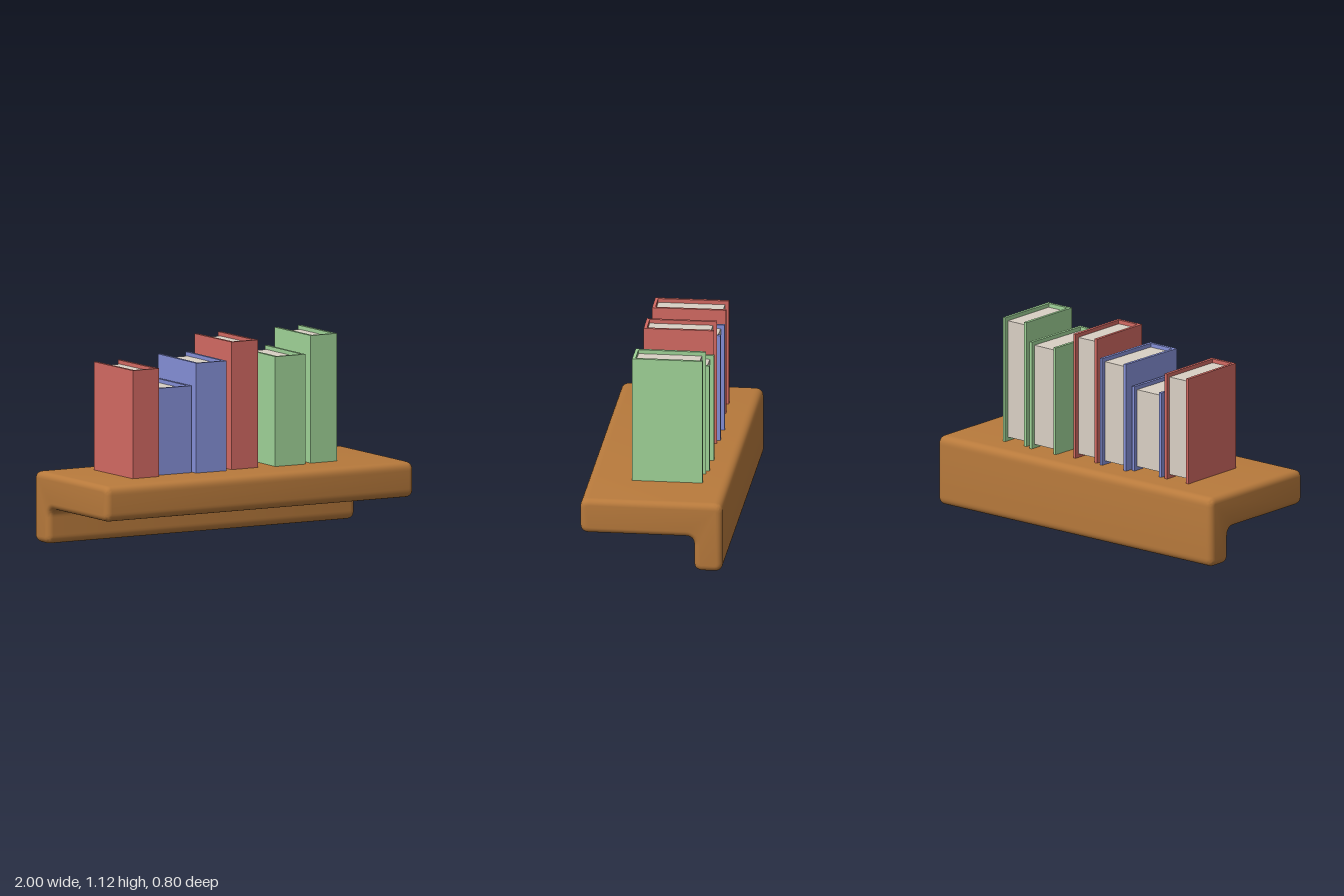
import * as THREE from 'three';
import { toCreasedNormals } from 'three/addons/utils/BufferGeometryUtils.js';

const material = (name, color) => Object.assign(new THREE.MeshStandardMaterial({ color }), { name });
const SHELF_TOP = 0.4;
const BOARD = 0.018; // cover thickness

// Closed outline whose corners are rounded by radius r
function roundedShape(points, r) {
  const shape = new THREE.Shape();
  const v = points.map(([x, y]) => new THREE.Vector2(x, y));
  v.forEach((p, i) => {
    const toward = (q) => q.clone().sub(p).setLength(r).add(p);
    const a = toward(v[(i + v.length - 1) % v.length]);
    const b = toward(v[(i + 1) % v.length]);
    if (i === 0) shape.moveTo(a.x, a.y);
    else shape.lineTo(a.x, a.y);
    shape.quadraticCurveTo(p.x, p.y, b.x, b.y);
  });
  shape.closePath();
  return shape;
}

// L-shaped shelf: a deep board with a lip hanging down at the back
function createShelf(wood) {
  const bevel = 0.035;
  const profile = roundedShape([
    [-0.4, 0.2], [0.24, 0.2], [0.24, 0], [0.4, 0], [0.4, 0.4], [-0.4, 0.4],
  ], 0.05);
  const geometry = new THREE.ExtrudeGeometry(profile, {
    depth: 2 - 2 * bevel, curveSegments: 8,
    bevelThickness: bevel, bevelSize: bevel, bevelOffset: -bevel, bevelSegments: 6,
  });
  geometry.translate(0, 0, bevel - 1).rotateY(Math.PI / 2);
  const shelf = new THREE.Mesh(toCreasedNormals(geometry, 0.6), wood);
  shelf.name = 'shelf';
  return shelf;
}

// Book with its spine to the front: U-shaped cover around a recessed page block
function createBook({ x0, x1, front, back, top, yaw }, cover, paper) {
  const book = new THREE.Group();
  const w = (x1 - x0) / 2, d = (front - back) / 2, h = top - SHELF_TOP;

  const u = new THREE.Shape([
    [-w, -d], [w, -d], [w, d], [w - BOARD, d],
    [w - BOARD, -d + BOARD], [-w + BOARD, -d + BOARD], [-w + BOARD, d], [-w, d],
  ].map(([x, y]) => new THREE.Vector2(x, y)));
  const coverGeometry = new THREE.ExtrudeGeometry(u, { depth: h, bevelEnabled: false });
  const coverMesh = new THREE.Mesh(coverGeometry.rotateX(-Math.PI / 2), cover);
  coverMesh.name = 'cover';

  const recess = 0.022;
  const pages = new THREE.Mesh(
    new THREE.BoxGeometry(2 * (w - BOARD), h - 2 * recess, 2 * d - BOARD - recess), paper);
  pages.position.set(0, h / 2, (recess - BOARD) / 2);
  pages.name = 'pages';

  book.add(coverMesh, pages);
  book.position.set((x0 + x1) / 2, SHELF_TOP, (front + back) / 2);
  book.rotation.y = yaw;
  book.name = 'book';
  return book;
}

export function createModel() {
  const wood = material('wood', 0xb87a3c);
  const paper = material('paper', 0xd9d0c4);
  const red = material('red cover', 0xd46a63);
  const blue = material('blue cover', 0x8590d8);
  const green = material('green cover', 0xa0d498);

  const model = new THREE.Group();
  model.name = 'bookshelf';
  model.add(createShelf(wood));

  // Books from right to left of the shelf
  [
    [red, { x0: -0.70, x1: -0.527, front: 0.175, back: -0.24, top: 1.01, yaw: 0.01 }],
    [blue, { x0: -0.502, x1: -0.287, front: 0.13, back: -0.235, top: 0.89, yaw: -0.01 }],
    [blue, { x0: -0.274, x1: -0.078, front: 0.165, back: -0.265, top: 1.02, yaw: -0.02 }],
    [red, { x0: -0.04, x1: 0.132, front: 0.145, back: -0.25, top: 1.12, yaw: 0.01 }],
    [green, { x0: 0.24, x1: 0.436, front: 0.165, back: -0.265, top: 1.02, yaw: -0.02 }],
    [green, { x0: 0.475, x1: 0.647, front: 0.148, back: -0.248, top: 1.12, yaw: 0 }],
  ].forEach(([cover, size]) => model.add(createBook(size, cover, paper)));

  return model;
}
